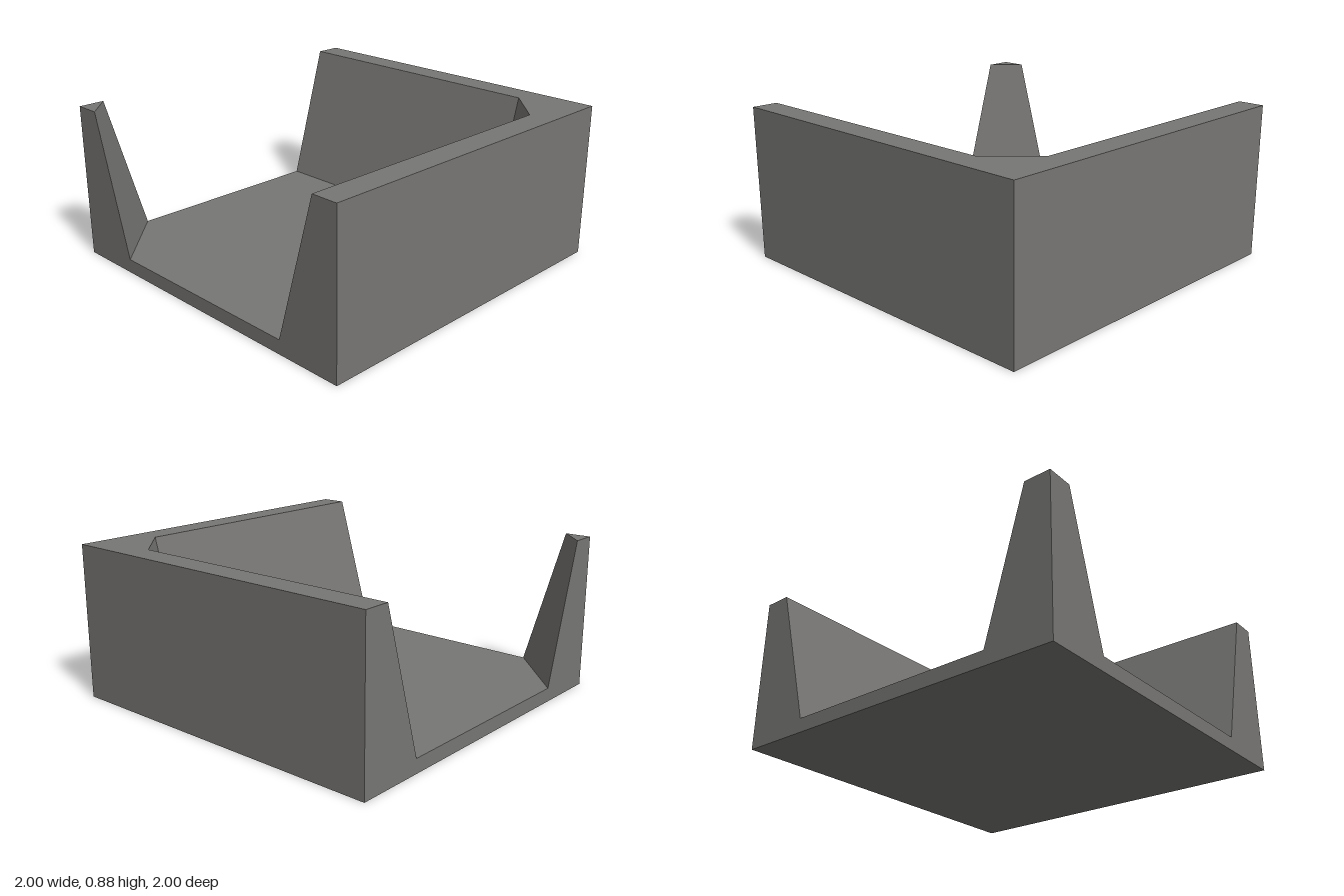
import * as THREE from 'three';

const FLOOR = 0.08, TOP = 0.885;
const BASE = 0.617, RIM = 0.85; // inner wall foot and inner rim, from the centre

// Solid between two counter-clockwise plan outlines of [x, -z], without its hidden underside
function taperedWall(foot, rim) {
  const at = ([x, v], y) => [x, y, -v];
  const positions = [];
  const n = foot.length;
  for (let i = 0; i < n; i++) {
    const j = (i + 1) % n;
    const a = at(foot[i], FLOOR), b = at(foot[j], FLOOR);
    const c = at(rim[j], TOP), d = at(rim[i], TOP);
    const pinched = a[0] === b[0] && a[2] === b[2];
    if (!pinched) positions.push(...a, ...b, ...c);
    positions.push(...a, ...c, ...d);
  }
  const outline = rim.map(([x, v]) => new THREE.Vector2(x, v));
  for (const face of THREE.ShapeUtils.triangulateShape(outline, [])) {
    for (const k of face) positions.push(...at(rim[k], TOP));
  }
  const geometry = new THREE.BufferGeometry();
  geometry.setAttribute('position', new THREE.Float32BufferAttribute(positions, 3));
  geometry.computeVertexNormals();
  return geometry;
}

export function createModel() {
  const model = new THREE.Group();
  model.name = 'cornerTile';
  const grey = new THREE.MeshStandardMaterial({ color: 0x777674 });
  grey.name = 'stoneGrey';

  const add = (name, geometry) => {
    const mesh = new THREE.Mesh(geometry, grey);
    mesh.name = name;
    model.add(mesh);
    return mesh;
  };

  // Floor slab
  add('floor', new THREE.BoxGeometry(2, FLOOR, 2)).position.y = FLOOR / 2;

  // L-shaped wall along the back and left, with a faceted inner corner
  add('outerWall', taperedWall(
    [[1, -1], [1, 1], [-1, 1], [-1, BASE], [BASE, BASE], [BASE, BASE], [BASE, -1]],
    [[1, -1], [1, 1], [-1, 1], [-1, RIM], [BASE, RIM], [RIM, BASE], [RIM, -1]]
  ));

  // Tapered post in the front right corner
  add('cornerPost', taperedWall(
    [[-1, -1], [-BASE, -1], [-1, -BASE]],
    [[-1, -1], [-RIM, -1], [-1, -RIM]]
  ));

  return model;
}
